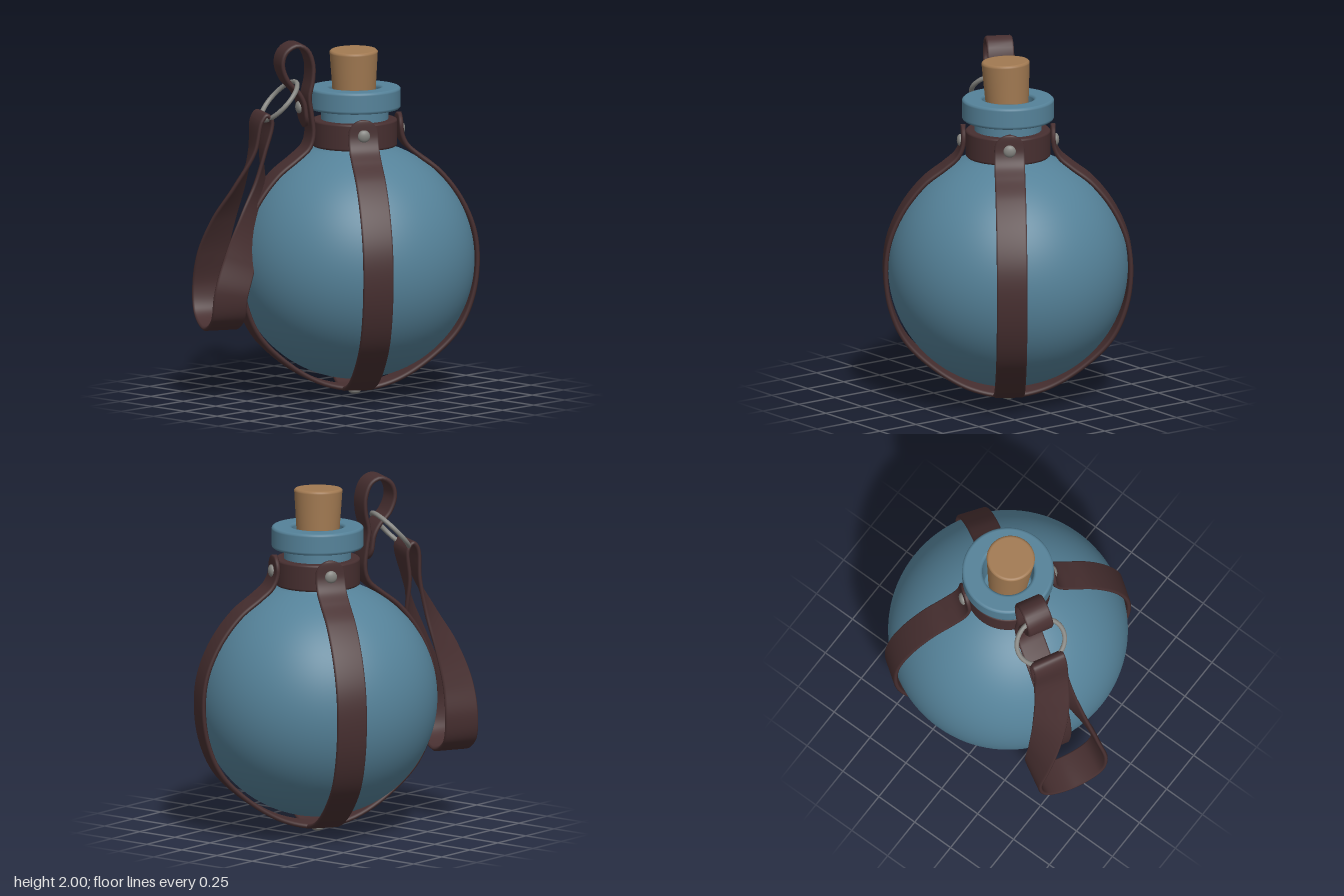
import * as THREE from 'three';

const V = (x, y, z) => new THREE.Vector3(x, y, z);
const mat = (name, color) => {
  const m = new THREE.MeshStandardMaterial({ color });
  m.name = name;
  return m;
};

// Sweep a bevelled strap through frames {p: centre, t: tangent, w: width direction, hw: half width}
function strapGeometry(frames, thick, closed) {
  const pos = [], idx = [], n = frames.length, h = thick / 2;
  for (const { p, t, w, hw } of frames) {
    const nor = t.clone().cross(w).normalize();
    const wid = nor.clone().cross(t).normalize();
    const b = Math.min(0.009, hw * 0.4), c = hw - b, k = h - 0.008;
    for (const [a, d] of [[hw, -k], [hw, k], [c, h], [-c, h], [-hw, k], [-hw, -k], [-c, -h], [c, -h]]) {
      pos.push(...p.clone().addScaledVector(wid, a).addScaledVector(nor, d).toArray());
    }
  }
  for (let i = 0; i < (closed ? n : n - 1); i++) {
    for (let j = 0; j < 8; j++) {
      const i2 = (i + 1) % n, j2 = (j + 1) % 8;
      const a = i * 8 + j, b = i * 8 + j2, c = i2 * 8 + j2, d = i2 * 8 + j;
      idx.push(a, b, c, a, c, d);
    }
  }
  if (!closed) {
    const e = (n - 1) * 8;
    for (let k = 1; k < 7; k++) idx.push(0, k + 1, k, e, e + k, e + k + 1);
  }
  const g = new THREE.BufferGeometry();
  g.setAttribute('position', new THREE.Float32BufferAttribute(pos, 3));
  g.setIndex(idx);
  g.computeVertexNormals();
  return g;
}

// Lathe with every inner corner of the profile slightly rounded
function softLathe(points, b, segments = 64) {
  const p = points.map(([x, y]) => new THREE.Vector2(x, y));
  const out = [p[0]];
  for (let i = 1; i < p.length - 1; i++) {
    const to = (q, d) => p[i].clone().add(q.clone().sub(p[i]).setLength(d));
    out.push(to(p[i - 1], b * 2), to(p[i - 1], b), to(p[i + 1], b), to(p[i + 1], b * 2));
  }
  out.push(p[p.length - 1]);
  return new THREE.LatheGeometry(out, segments);
}

export function createModel() {
  const model = new THREE.Group();
  model.name = 'strappedFlask';
  const flask = new THREE.Group();
  flask.name = 'flask';
  flask.position.x = 0.105;
  model.add(flask);

  const glass = mat('blueGlass', 0x558299);
  const leather = mat('darkLeather', 0x472f30);
  const corkMat = mat('cork', 0xa27a52);
  const metal = mat('greyMetal', 0x83837f);

  const add = (name, geo, material) => {
    const m = new THREE.Mesh(geo, material);
    m.name = name;
    flask.add(m);
    return m;
  };

  // Round body flowing into the neck
  const body = [];
  for (let i = 0; i <= 48; i++) {
    const a = -Math.PI / 2 + (i / 48) * (Math.PI / 2 + 1.27);
    body.push(new THREE.Vector2(Math.max(0, 0.667 * Math.cos(a)), 0.76 + 0.667 * Math.sin(a)));
  }
  body.push(new THREE.Vector2(0.188, 1.43), new THREE.Vector2(0.187, 1.5), new THREE.Vector2(0.187, 1.63));
  add('body', new THREE.LatheGeometry(body, 96), glass);

  // Thick lip with the open mouth
  add('lip', softLathe([[0.18, 1.61], [0.255, 1.61], [0.255, 1.73], [0.145, 1.73], [0.135, 1.46], [0, 1.46]], 0.008), glass);

  // Cork, leaning slightly
  const cork = add('cork', softLathe([[0, -0.2], [0.108, -0.2], [0.135, 0.22], [0, 0.22]], 0.008, 48), corkMat);
  cork.position.set(0.0, 1.72, 0.002);
  cork.rotation.set(0.02, 0, 0.035);
  cork.position.x = -0.007;

  // Leather neck band
  add('neckBand', softLathe([[0.185, 1.40], [0.236, 1.40], [0.236, 1.55], [0.185, 1.55]], 0.006), leather);

  const rivet = (name, p, dir) => {
    const r = add(name, new THREE.SphereGeometry(0.035, 24, 16), metal);
    r.scale.z = 0.55;
    r.position.copy(p);
    r.quaternion.setFromUnitVectors(V(0, 0, 1), dir);
  };
  const radial = (deg) => V(Math.cos(deg * Math.PI / 180), 0, Math.sin(deg * Math.PI / 180));
  const at = (d, s, y) => d.clone().multiplyScalar(s).setY(y);

  // Strap from under the body up to the band, with a rounded tip
  function bodyStrap(name, d, profile, width) {
    const curve = new THREE.CatmullRomCurve3(profile.map(([s, y]) => at(d, s, y)));
    curve.arcLengthDivisions = 600;
    const len = curve.getLength(), side = V(-d.z, 0, d.x), frames = [];
    for (let k = 0; k <= 120; k++) {
      const u = Math.sin((k / 120) * Math.PI / 2);
      const q = Math.max(0, 1 - (1 - u) * len / width);
      const hw = width * Math.max(0.12, Math.sqrt(1 - q * q));
      frames.push({ p: curve.getPointAt(u), t: curve.getTangentAt(u), w: side, hw });
    }
    add(name, strapGeometry(frames, 0.026, false), leather);
  }

  const lower = [[0, 0.042], [0.09, 0.046], [0.24, 0.092], [0.42, 0.205], [0.575, 0.36], [0.655, 0.54],
    [0.682, 0.74], [0.662, 0.92], [0.585, 1.10], [0.465, 1.255], [0.35, 1.345], [0.283, 1.405]];
  [['frontLeftStrap', 35], ['frontRightStrap', 125], ['backLeftStrap', 305]].forEach(([name, deg]) => {
    const d = radial(deg);
    bodyStrap(name, d, [...lower, [0.254, 1.47], [0.25, 1.58]], 0.085);
    rivet(name + 'Rivet', at(d, 0.266, 1.49), d);
  });

  // Fourth strap rises past the lip and folds back into a hanging loop
  const d = radial(208.5), t = V(d.z, 0, -d.x).negate().multiplyScalar(-1);
  if (t.z < 0) t.negate();
  bodyStrap('hangingStrap', d, [...lower, [0.26, 1.48], [0.272, 1.6], [0.284, 1.69], [0.264, 1.79], [0.264, 1.88],
    [0.298, 1.96], [0.355, 1.985], [0.418, 1.95], [0.44, 1.88], [0.41, 1.79], [0.347, 1.72], [0.315, 1.66],
    [0.302, 1.58], [0.29, 1.52]], 0.075);
  rivet('loopRivet', at(d, 0.325, 1.63), d);
  rivet('bottomRivet', V(0, 0.02, 0), V(0, -1, 0));

  // Metal ring through the loop
  const ring = add('ring', new THREE.TorusGeometry(0.14, 0.0135, 12, 48), metal);
  const slope = d.clone().multiplyScalar(0.68).setY(-0.73).normalize();
  ring.quaternion.setFromRotationMatrix(new THREE.Matrix4().makeBasis(t, slope, t.clone().cross(slope)));
  ring.position.copy(at(d, 0.44, 1.67));

  // Carrying strap: a closed loop twisting a quarter turn; rows are height, reach, half gap, twist
  const rows = [[1.605, 0.54, 0, 0], [1.57, 0.54, 0.03, 0], [1.4, 0.565, 0.03, 10], [1.2, 0.615, 0.06, 35],
    [1.0, 0.685, 0.11, 62], [0.8, 0.75, 0.165, 80], [0.62, 0.785, 0.2, 90], [0.48, 0.79, 0.16, 90], [0.41, 0.79, 0, 90]];
  const points = [], widths = [];
  const place = ([y, s, e, deg], sign) => {
    const a = deg * Math.PI / 180;
    const gap = d.clone().multiplyScalar(Math.cos(a)).addScaledVector(t, -Math.sin(a));
    points.push(at(d, s, y).addScaledVector(gap, e * sign));
    widths.push(t.clone().multiplyScalar(Math.cos(a)).addScaledVector(d, Math.sin(a)));
  };
  rows.forEach((r) => place(r, 1));
  rows.slice(1, -1).reverse().forEach((r) => place(r, -1));
  const path = new THREE.CatmullRomCurve3(points, true);
  const turn = new THREE.CatmullRomCurve3(widths, true, 'catmullrom');
  const frames = [];
  for (let k = 0; k < 160; k++) {
    const u = k / 160;
    frames.push({ p: path.getPoint(u), t: path.getTangent(u), w: turn.getPoint(u).normalize(), hw: 0.098 });
  }
  add('carryingStrap', strapGeometry(frames, 0.024, true), leather);

  return model;
}
